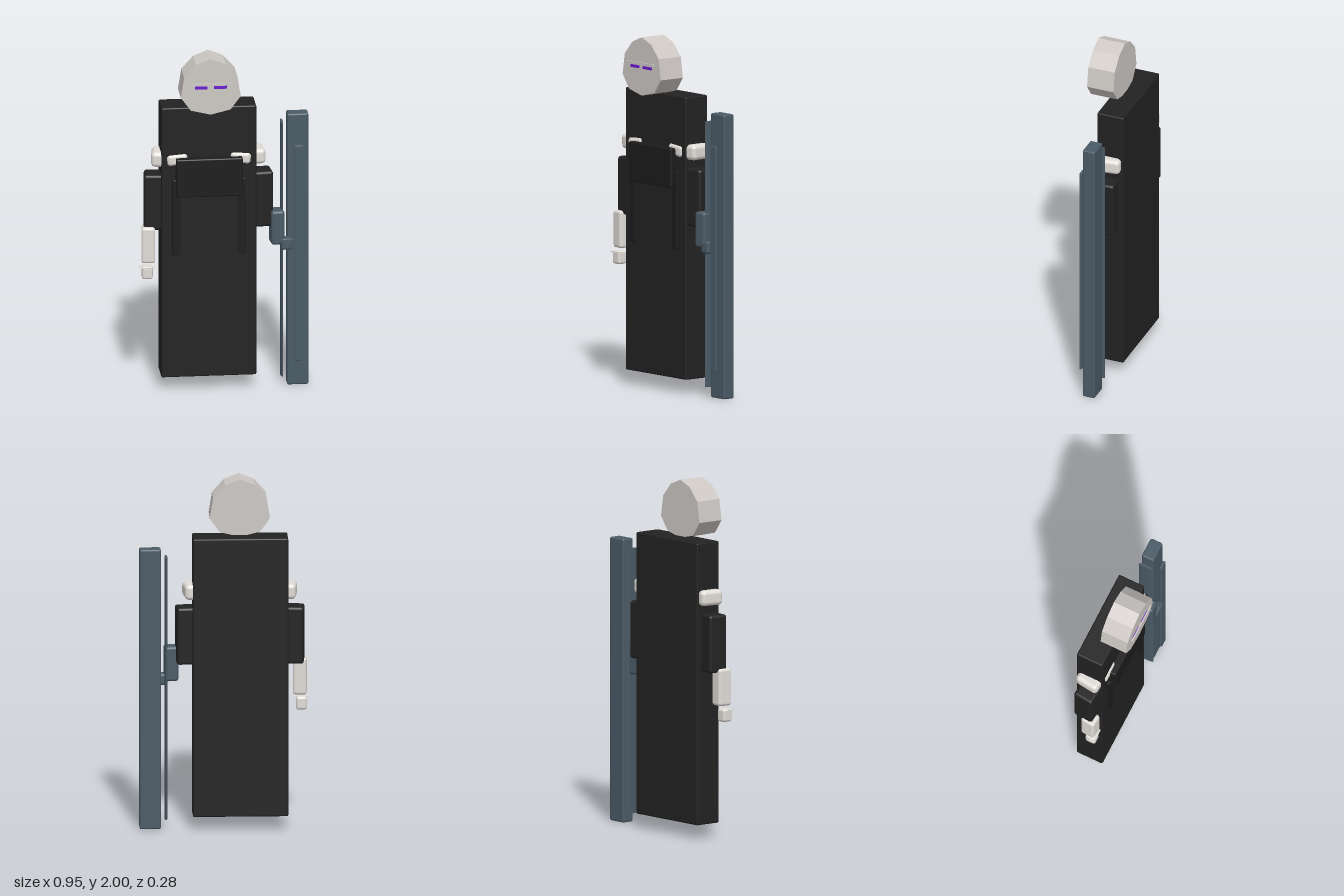
import * as THREE from 'three';
import { RoundedBoxGeometry } from 'three/addons/geometries/RoundedBoxGeometry.js';

export function createModel() {
  const group = new THREE.Group();
  const mat = (name, color) => {
    const m = new THREE.MeshStandardMaterial({ color });
    m.name = name;
    return m;
  };
  const robe = mat('robe black', 0x222222);
  const trim = mat('trim black', 0x1c1c1c);
  const bone = mat('bone white', 0xe0dcd6);
  const mask = mat('mask grey', 0xcdc8c4);
  const slate = mat('slate blue', 0x4a5a66);
  const violet = mat('eye violet', 0x6a1bd0);

  const add = (name, geometry, material) => {
    const mesh = new THREE.Mesh(geometry, material);
    mesh.name = name;
    group.add(mesh);
    return mesh;
  };
  // Box given by its limits on each axis, with softened edges
  const box = (name, [x0, x1], [y0, y1], [z0, z1], material, radius = 0.008) => {
    const g = radius
      ? new RoundedBoxGeometry(x1 - x0, y1 - y0, z1 - z0, 3, radius)
      : new THREE.BoxGeometry(x1 - x0, y1 - y0, z1 - z0);
    const mesh = add(name, g, material);
    mesh.position.set((x0 + x1) / 2, (y0 + y1) / 2, (z0 + z1) / 2);
    return mesh;
  };
  const cx = -0.087; // middle of the figure; the shield stands beside it

  // Body slab and chest panel
  box('robe', [-0.355, 0.18], [0.08, 1.68], [-0.14, 0.02], robe);
  box('chestPanel', [-0.275, 0.10], [1.16, 1.385], [0.01, 0.063], trim);

  // Head: faceted disc, wider at the jaw
  const half = [[0, 2], [0.083, 1.967], [0.15, 1.893], [0.169, 1.775], [0.112, 1.697], [0, 1.67]];
  const outline = [...half, ...half.slice(1, -1).reverse().map(([x, y]) => [-x, y])];
  const headShape = new THREE.Shape(outline.map(([x, y]) => new THREE.Vector2(cx + x, y)));
  const head = add('head', new THREE.ExtrudeGeometry(headShape, { depth: 0.16, bevelEnabled: false }), mask);
  head.position.z = -0.04;
  box('brow', [-0.205, 0.032], [1.845, 1.859], [0.127, 0.135], mask, 0);

  for (const s of [-1, 1]) {
    const side = s > 0 ? 'left' : 'right';
    // Limits mirrored about the middle of the figure
    const span = (a, b) => (s > 0 ? [cx + a, cx + b] : [cx - b, cx - a]);
    box(side + 'Eye', span(0.018, 0.09), [1.824, 1.839], [0.119, 0.128], violet, 0);
    box(side + 'Strap', span(0.162, 0.207), [0.81, 1.255], [0.01, 0.037], trim, 0.004);

    const collar = box(side + 'Collar', span(0.118, 0.238), [1.338, 1.405], [-0.04, 0.03], bone, 0.02);
    collar.rotation.z = -s * 0.08;
    const shoulder = box(side + 'Shoulder', span(0.24, 0.317), [1.325, 1.412], [-0.128, 0.012], bone, 0.024);
    shoulder.rotation.y = s * 0.12;
    const upperArm = box(side + 'UpperArm', span(0.25, 0.36), [0.95, 1.277], [-0.112, 0.005], robe, 0.016);
    upperArm.rotation.y = s * 0.1;
  }

  // Bare right forearm and hand with thin cuffs
  const rightForearm = box('rightForearm', [-0.464, -0.387], [0.76, 0.972], [-0.062, 0.023], bone, 0.016);
  rightForearm.rotation.y = -0.1;
  box('rightHand', [-0.464, -0.403], [0.668, 0.742], [-0.035, 0.027], bone, 0.014);
  box('rightCuff', [-0.475, -0.39], [0.733, 0.738], [-0.005, 0.028], bone, 0);

  // Armoured left forearm and hand
  const leftForearm = box('leftForearm', [0.261, 0.337], [0.845, 1.045], [-0.068, 0.023], slate, 0.016);
  leftForearm.rotation.y = 0.1;
  box('leftHand', [0.32, 0.382], [0.815, 0.882], [-0.035, 0.028], slate, 0.014);
  box('leftCuff', [0.31, 0.392], [0.872, 0.877], [-0.005, 0.029], slate, 0);

  // Tall blade: flattened rod
  const blade = add('blade', new THREE.CylinderGeometry(0.045, 0.045, 1.505, 20), slate);
  blade.scale.x = 0.17;
  blade.position.set(0.328, 0.807, -0.045);

  // Tall narrow shield with a raised strip
  box('shield', [0.357, 0.477], [0, 1.61], [-0.088, -0.014], slate, 0.01);
  box('shieldStrip', [0.395, 0.444], [0.152, 1.432], [0.004, 0.02], slate, 0.005);

  return group;
}
